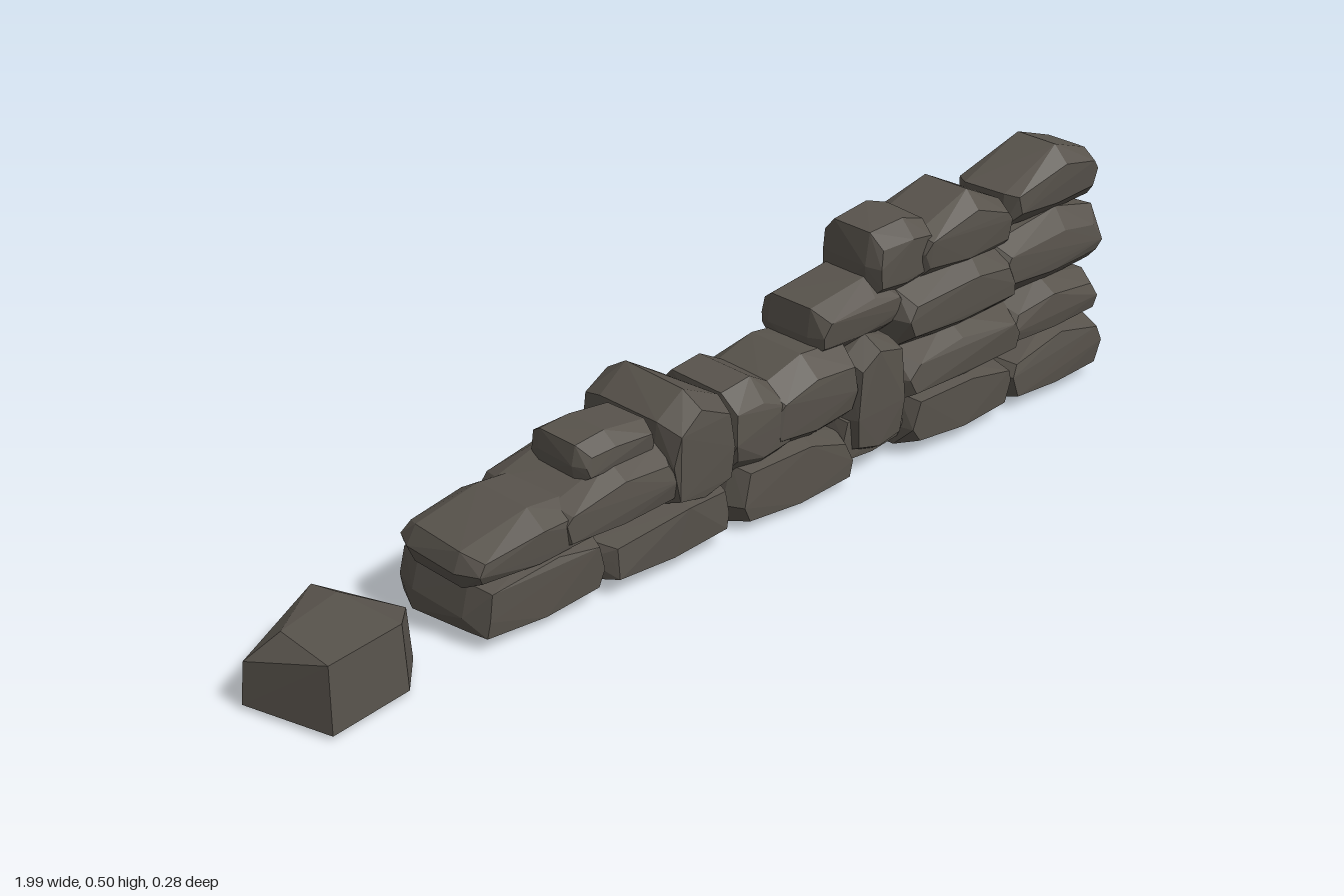
import * as THREE from 'three';
import { ConvexGeometry } from 'three/addons/geometries/ConvexGeometry.js';

// Small seeded generator giving values in 0..1
function makeRandom(seed) {
  let s = seed;
  return () => {
    s = (s * 16807) % 2147483647;
    return s / 2147483647;
  };
}

// Each stone: [x0, x1, y0, y1, z0, z1, drop of the top's left corner, right corner]
// faceHeight: how tall the front and back faces are compared with the middle
const courses = {
  baseStone: {
    faceHeight: 0.82,
    stones: [
      [-0.635, -0.33, 0.01, 0.14, -0.13, 0.11, 0.01, 0.01],
      [-0.37, -0.03, 0.02, 0.13, -0.14, 0.12, 0.02, 0],
      [-0.04, 0.28, 0.002, 0.14, -0.125, 0.11, 0, 0.03],
      [0.24, 0.42, 0.025, 0.16, -0.1, 0.085, 0.02, 0.02],
      [0.39, 0.71, 0.015, 0.14, -0.14, 0.12, 0, 0.02],
      [0.68, 0.98, 0.01, 0.145, -0.125, 0.11, 0.03, 0.015],
    ],
  },
  secondStone: {
    faceHeight: 0.55,
    stones: [
      [-0.64, -0.34, 0.1, 0.212, -0.115, 0.105, 0.022, 0],
      [-0.45, -0.16, 0.1, 0.245, -0.135, 0.11, 0.035, 0],
      [-0.045, 0.12, 0.09, 0.29, -0.12, 0.1, 0, 0.03],
      [0.05, 0.29, 0.1, 0.29, -0.125, 0.1, 0.025, 0],
      [0.38, 0.74, 0.1, 0.245, -0.14, 0.11, 0.02, 0.02],
      [0.68, 0.98, 0.11, 0.25, -0.12, 0.1, 0.02, 0.02],
    ],
  },
  uprightStone: {
    faceHeight: 0.8,
    stones: [
      [-0.205, -0.035, 0.09, 0.32, -0.14, 0.115, 0.03, 0.03],
      [0.26, 0.4, 0.025, 0.285, -0.1, 0.105, 0.02, 0.01],
    ],
  },
  thirdStone: {
    faceHeight: 0.5,
    stones: [
      [-0.37, -0.19, 0.2, 0.288, -0.08, 0.075, 0.003, 0.005],
      [0.195, 0.44, 0.24, 0.375, -0.11, 0.07, 0.015, 0.02],
      [0.38, 0.74, 0.2, 0.365, -0.115, 0.1, 0.015, 0.02],
      [0.66, 0.995, 0.22, 0.375, -0.1, 0.09, 0.015, 0.015],
    ],
  },
  topStone: {
    faceHeight: 0.55,
    stones: [
      [0.345, 0.51, 0.31, 0.472, -0.09, 0.07, 0, 0.01],
      [0.45, 0.73, 0.31, 0.485, -0.1, 0.08, 0.045, 0.045],
      [0.71, 0.985, 0.355, 0.506, -0.085, 0.075, 0.07, 0.025],
    ],
  },
};

// Convex stone: a front outline swept through z, narrowed and chipped towards both faces
function stoneGeometry([x0, x1, y0, y1, z0, z1, dropLeft, dropRight], faceHeight, seed) {
  const random = makeRandom(seed);
  for (let i = 0; i < 5; i++) random();
  const w = x1 - x0, h = y1 - y0;
  const cx = (x0 + x1) / 2, cy = (y0 + y1) / 2, cz = (z0 + z1) / 2;
  const peak = x0 + w * (0.4 + 0.25 * random());
  const outline = [
    [x0 + w * 0.03, y0 + h * 0.08],
    [x0, y0 + h * (0.35 + 0.2 * random())],
    [x0 + w * 0.05, y1 - dropLeft - h * 0.06],
    [peak, y1],
    [x1 - w * 0.06, y1 - dropRight - h * 0.05],
    [x1, y0 + h * (0.35 + 0.2 * random())],
    [x1 - w * 0.03, y0 + h * 0.08],
    [cx, y0],
  ];
  const points = [];
  for (const [depth, sx, sy] of [[-1, 0.88, faceHeight], [-0.6, 1, 1], [0.6, 1, 1], [1, 0.88, faceHeight]]) {
    for (const [x, y] of outline) {
      const chip = 1 - random() * 0.1;
      points.push(new THREE.Vector3(
        cx + (x - cx) * sx * chip,
        cy + (y - cy) * sy * chip,
        cz + ((z1 - z0) / 2) * depth * (1 - random() * 0.1),
      ));
    }
  }
  return new ConvexGeometry(points);
}

export function createModel() {
  const model = new THREE.Group();
  model.name = 'ruinedStoneWall';
  const stone = new THREE.MeshStandardMaterial({ color: 0x58534c });
  stone.name = 'darkStone';

  const add = (name, geometry, parent) => {
    const mesh = new THREE.Mesh(geometry, stone);
    mesh.name = name;
    parent.add(mesh);
  };

  // Stacked courses of the wall, rising towards +x
  let seed = 1201;
  for (const [name, { faceHeight, stones }] of Object.entries(courses)) {
    const course = new THREE.Group();
    course.name = name + 'Course';
    stones.forEach((s, i) => {
      seed += 7919;
      add(name + (i + 1), stoneGeometry(s, faceHeight, seed), course);
    });
    model.add(course);
  }

  // Fallen stone lying apart: five-sided, steep sides and a nearly flat top
  const outline = [[-1, -0.035], [-0.8, -0.115], [-0.715, 0.04], [-0.78, 0.115], [-0.95, 0.14]];
  const topHeights = [0.09, 0.125, 0.11, 0.135, 0.135];
  const fallen = [new THREE.Vector3(-0.94, 0.138, 0.0), new THREE.Vector3(-0.8, 0.138, -0.04)];
  outline.forEach(([x, z], i) => {
    fallen.push(new THREE.Vector3(x, 0.012, z));
    fallen.push(new THREE.Vector3(-0.86 + (x + 0.86) * 0.95, topHeights[i], z * 0.95));
  });
  add('fallenStone', new ConvexGeometry(fallen), model);

  return model;
}
